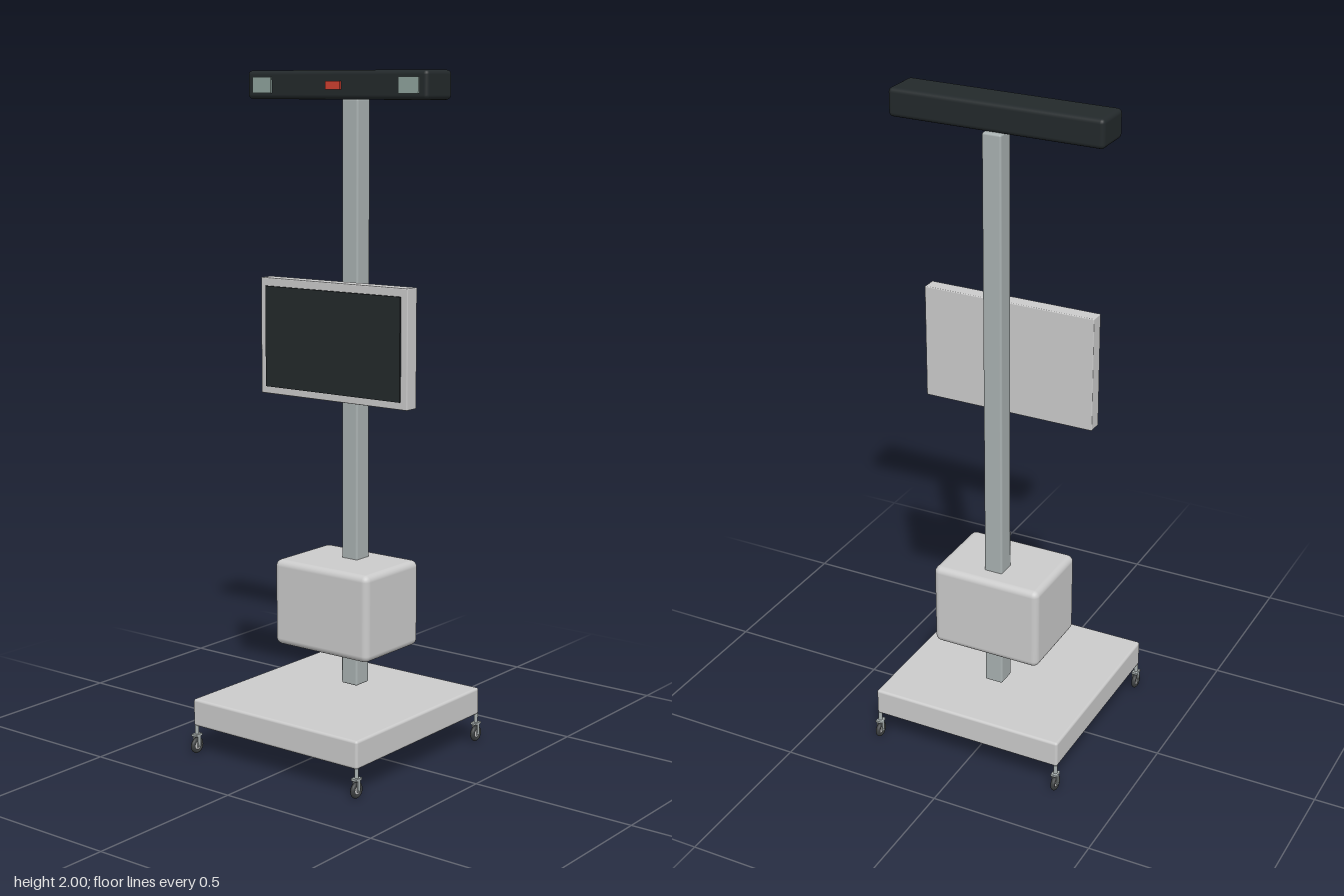
import * as THREE from 'three';
import { RoundedBoxGeometry } from 'three/addons/geometries/RoundedBoxGeometry.js';

const mat = (color) => new THREE.MeshStandardMaterial({ color });

export function createModel() {
  const model = new THREE.Group();
  const grey = mat(0xcccccc), steel = mat(0xaab2b2), black = mat(0x23292b);
  const glass = mat(0x8fa39d), red = mat(0xd04030), rubber = mat(0x3c3f40);

  // Box given by its [min, max] extent on each axis; r rounds the edges
  function box(name, material, [x0, x1], [y0, y1], [z0, z1], r = 0, parent = model) {
    const size = [x1 - x0, y1 - y0, z1 - z0];
    const geo = r ? new RoundedBoxGeometry(...size, 3, r) : new THREE.BoxGeometry(...size);
    const mesh = new THREE.Mesh(geo, material);
    mesh.name = name;
    mesh.position.set((x0 + x1) / 2, (y0 + y1) / 2, (z0 + z1) / 2);
    parent.add(mesh);
    return mesh;
  }

  // Base, electronics housing and mast
  box('base', grey, [-0.305, 0.305], [0.085, 0.168], [-0.305, 0.305], 0.008);
  box('housing', grey, [-0.173, 0.173], [0.31, 0.57], [-0.174, 0.086], 0.02);
  box('mast', steel, [-0.029, 0.029], [0.18, 1.92], [-0.117, -0.057], 0.006);

  // Display
  box('displayFrame', grey, [-0.267, 0.267], [1.055, 1.4], [-0.021, 0.025], 0.003);
  box('screen', black, [-0.245, 0.245], [1.077, 1.376], [0.02, 0.031]);

  // Sensor bar with two windows and an indicator
  box('sensorBar', black, [-0.322, 0.322], [1.918, 2], [-0.106, 0.016], 0.013);
  for (const s of [-1, 1]) {
    box('sensorWindow', glass, [s * 0.262 - 0.034, s * 0.262 + 0.034], [1.936, 1.981], [0.01, 0.022]);
  }
  box('indicator', red, [-0.026, 0.026], [1.946, 1.969], [0.01, 0.024]);

  // Casters: stem, fork and wheel under each corner
  function caster(x, z) {
    const g = new THREE.Group();
    g.name = 'caster';
    const add = (name, geo, material, y, turn) => {
      const mesh = new THREE.Mesh(geo, material);
      mesh.name = name;
      mesh.position.y = y;
      if (turn === 'z') mesh.rotation.z = Math.PI / 2;
      if (turn === 'y') mesh.rotation.y = Math.PI / 2;
      g.add(mesh);
    };
    add('stem', new THREE.CylinderGeometry(0.006, 0.006, 0.03, 16), steel, 0.073);
    add('tyre', new THREE.TorusGeometry(0.017, 0.007, 12, 32), rubber, 0.024, 'y');
    add('hub', new THREE.CylinderGeometry(0.012, 0.012, 0.009, 24), grey, 0.024, 'z');
    add('axle', new THREE.CylinderGeometry(0.003, 0.003, 0.021, 12), steel, 0.024, 'z');
    box('forkTop', steel, [-0.01, 0.01], [0.052, 0.06], [-0.014, 0.014], 0.002, g);
    for (const s of [-1, 1]) {
      box('forkArm', steel, [s * 0.0085 - 0.0015, s * 0.0085 + 0.0015], [0.02, 0.056], [-0.006, 0.006], 0, g);
    }
    g.position.set(x, 0, z);
    model.add(g);
  }
  for (const x of [-0.298, 0.298]) for (const z of [-0.299, 0.297]) caster(x, z);

  return model;
}
